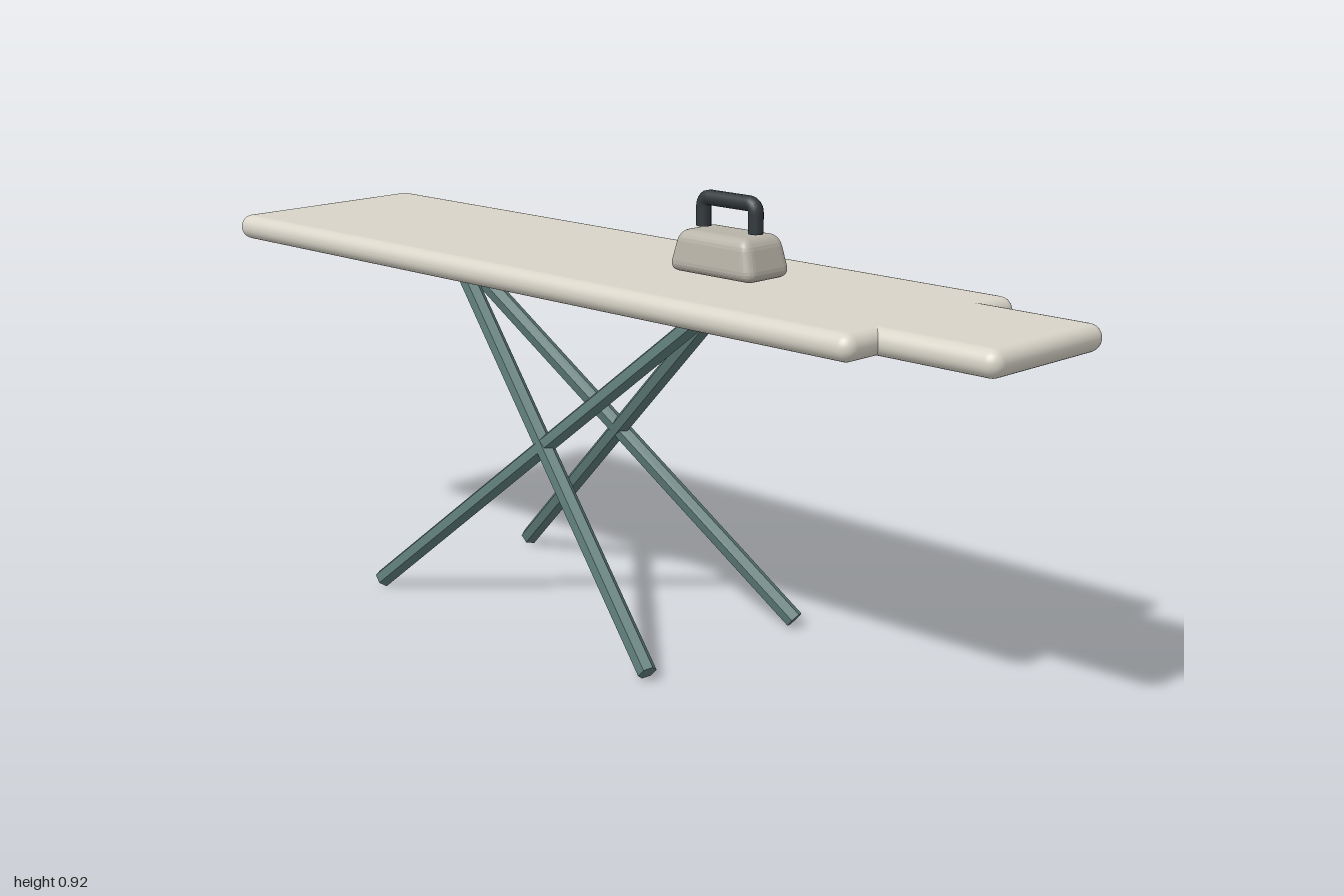
import * as THREE from 'three';
import { RoundedBoxGeometry } from 'three/addons/geometries/RoundedBoxGeometry.js';

const cover = new THREE.MeshStandardMaterial({ color: 0xd8d4c8 });
const steel = new THREE.MeshStandardMaterial({ color: 0xb8b3a8 });
const legPaint = new THREE.MeshStandardMaterial({ color: 0x5c7a76, flatShading: true });
const grip = new THREE.MeshStandardMaterial({ color: 0x33393c });

function part(name, geometry, material, parent) {
  const mesh = new THREE.Mesh(geometry, material);
  mesh.name = name;
  parent.add(mesh);
  return mesh;
}

// Straight bar between two points
function bar(name, a, b, radius, parent) {
  const dir = b.clone().sub(a);
  const mesh = part(name, new THREE.CylinderGeometry(radius, radius, dir.length(), 6), legPaint, parent);
  mesh.position.copy(a).lerp(b, 0.5);
  mesh.quaternion.setFromUnitVectors(new THREE.Vector3(0, 1, 0), dir.normalize());
}

// Padded slab with a fully rounded rim
function slab(name, x0, x1, depth, parent) {
  const mesh = part(name, new RoundedBoxGeometry(x1 - x0, 0.052, depth, 4, 0.0255), cover, parent);
  mesh.position.set((x0 + x1) / 2, 0.735, 0);
}

function createIron() {
  const iron = new THREE.Group();
  iron.name = 'iron';
  iron.position.x = 0.255;

  // Body: rounded block narrowing towards the top
  const height = 0.082;
  const body = new RoundedBoxGeometry(0.222, height, 0.125, 3, 0.022);
  const p = body.attributes.position;
  for (let i = 0; i < p.count; i++) {
    const t = p.getY(i) / height + 0.5;
    p.setX(i, p.getX(i) * (1 - 0.2 * t));
    p.setZ(i, p.getZ(i) * (1 - 0.16 * t));
  }
  body.computeVertexNormals();
  part('ironBody', body, steel, iron).position.y = 0.809;

  // Handle: arch with rounded corners
  const w = 0.067, bottom = 0.853, top = 0.909, r = 0.018;
  const v = (x, y) => new THREE.Vector3(x, y, 0);
  const path = new THREE.CurvePath();
  path.add(new THREE.LineCurve3(v(-w, bottom), v(-w, top - r)));
  path.add(new THREE.QuadraticBezierCurve3(v(-w, top - r), v(-w, top), v(-w + r, top)));
  path.add(new THREE.LineCurve3(v(-w + r, top), v(w - r, top)));
  path.add(new THREE.QuadraticBezierCurve3(v(w - r, top), v(w, top), v(w, top - r)));
  path.add(new THREE.LineCurve3(v(w, top - r), v(w, bottom)));
  part('ironHandle', new THREE.TubeGeometry(path, 48, 0.015, 10), grip, iron);
  for (const side of [-1, 1]) {
    const cap = part('handleEnd', new THREE.CircleGeometry(0.015, 10), grip, iron);
    cap.position.set(side * w, bottom, 0);
    cap.rotation.x = Math.PI / 2;
  }
  return iron;
}

export function createModel() {
  const model = new THREE.Group();
  model.name = 'ironingBoard';

  slab('boardTop', -1, 0.752, 0.484, model);
  slab('boardNose', 0.69, 1, 0.324, model);

  // Two crossing V-shaped leg pairs
  const legs = new THREE.Group();
  legs.name = 'legs';
  model.add(legs);
  for (const end of [-1, 1]) {
    for (const side of [-1, 1]) {
      const top = new THREE.Vector3(-0.152 + end * 0.402, 0.722, 0);
      const foot = new THREE.Vector3(-0.152 - end * 0.402, 0.015, side * 0.215);
      bar('leg', top, foot, 0.0195, legs);
    }
  }

  model.add(createIron());
  return model;
}
